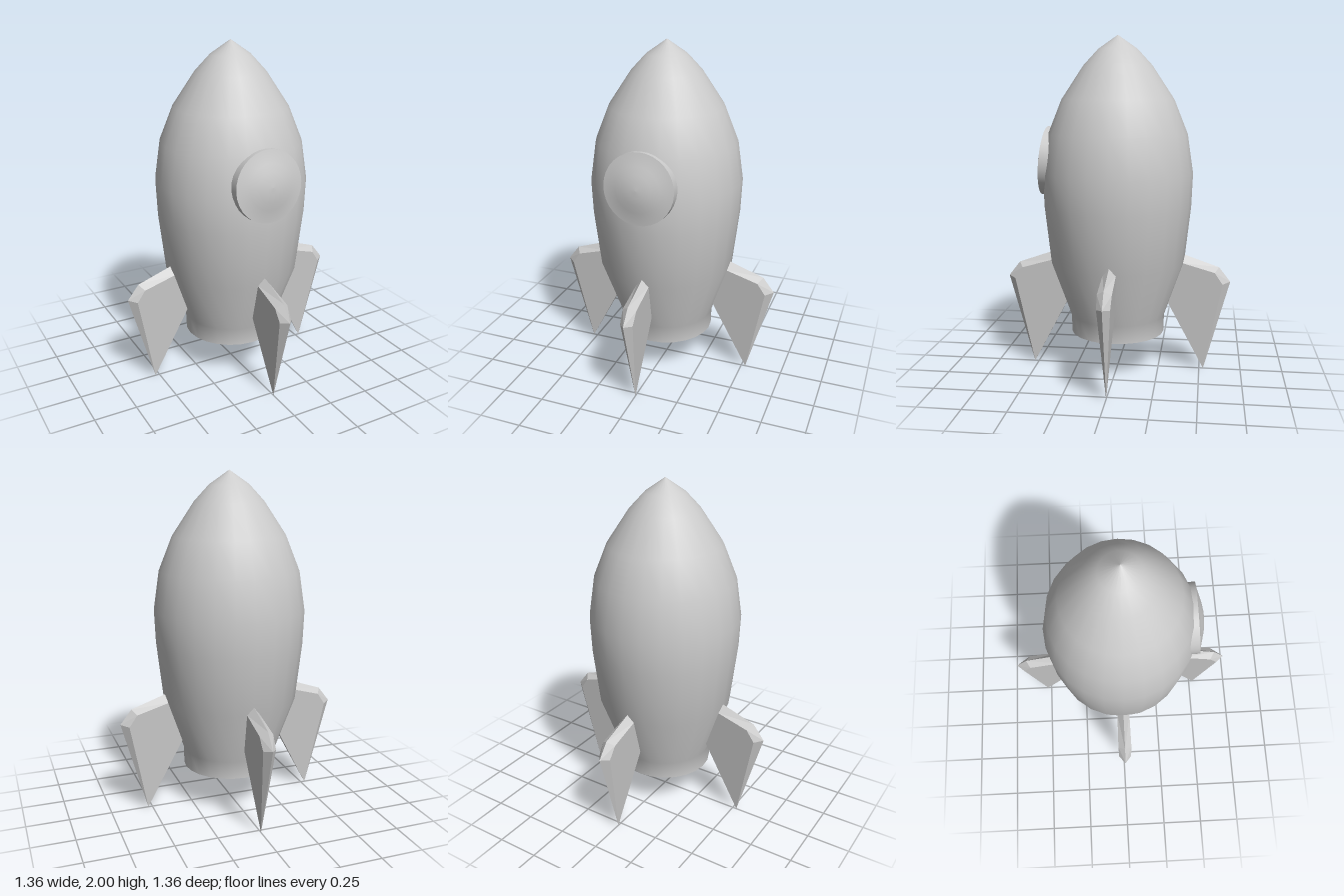
import * as THREE from 'three';

const grey = new THREE.MeshStandardMaterial({ color: 0xcccccc });
const finGrey = new THREE.MeshStandardMaterial({ color: 0xcccccc, flatShading: true });

function addMesh(parent, name, geometry, material = grey) {
  const mesh = new THREE.Mesh(geometry, material);
  mesh.name = name;
  parent.add(mesh);
  return mesh;
}

const lathe = (points, segments) =>
  new THREE.LatheGeometry(points.map(([r, y]) => new THREE.Vector2(r, y)), segments);

// Fin reaching out along +x: planar sides that thin to a tip, with a ridged outer edge
function finGeometry() {
  const tip = [0.525, 0];
  const ridge = [[0.2, 0.74], [0.4, 0.71], [0.61, 0.637], [0.678, 0.55]];
  const inset = [[0.2, 0.7], [0.39, 0.665], [0.585, 0.61], [0.632, 0.54]];
  const root = [0.2, 0.615];
  const half = ([x, y]) => 0.0632 * y + 0.0326 * (x - tip[0]);
  const positions = [];

  for (const side of [1, -1]) {
    const onSide = (p) => [p[0], p[1], side * half(p)];
    const onRidge = (p) => [p[0], p[1], 0];
    const tri = (a, b, c) => positions.push(...a, ...(side > 0 ? [...b, ...c] : [...c, ...b]));
    const end = onRidge(tip);

    // Side face, fanned from the tip
    const rim = [root, ...inset].map(onSide);
    for (let i = 0; i < rim.length - 1; i++) tri(end, rim[i + 1], rim[i]);

    // Bevel between side face and ridge
    for (let i = 0; i < ridge.length - 1; i++) {
      const a = onSide(inset[i]), b = onSide(inset[i + 1]);
      const c = onRidge(ridge[i + 1]), d = onRidge(ridge[i]);
      tri(a, b, c);
      tri(a, c, d);
    }
    tri(onSide(inset[3]), end, onRidge(ridge[3]));

    // Underside and inner end
    tri(end, onSide(root), onRidge(root));
    tri(onRidge(root), onSide(root), onSide(inset[0]));
    tri(onRidge(root), onSide(inset[0]), onRidge(ridge[0]));
  }

  const geometry = new THREE.BufferGeometry();
  geometry.setAttribute('position', new THREE.Float32BufferAttribute(positions, 3));
  geometry.computeVertexNormals();
  return geometry;
}

export function createModel() {
  const rocket = new THREE.Group();
  rocket.name = 'rocket';

  // Hull
  addMesh(rocket, 'hull', lathe([
    [0.28, 0.23], [0.283, 0.335], [0.4, 0.66], [0.438, 1.0], [0.446, 1.2],
    [0.412, 1.43], [0.332, 1.63], [0.203, 1.825], [0.115, 1.92], [0, 2],
  ], 24));
  const base = addMesh(rocket, 'hullBase', new THREE.CircleGeometry(0.28, 24));
  base.rotation.x = Math.PI / 2;
  base.position.y = 0.23;

  // Porthole, leaning back with the hull
  const porthole = new THREE.Group();
  porthole.name = 'porthole';
  porthole.position.set(0, 1.267, 0.438);
  porthole.rotation.x = Math.PI / 2 - 0.085;
  rocket.add(porthole);
  const rim = addMesh(porthole, 'portholeRim', new THREE.CylinderGeometry(0.205, 0.205, 0.1, 32, 1, true));
  rim.position.y = -0.05;
  addMesh(porthole, 'portholeGlass', lathe([
    [0.205, 0], [0.17, 0.006], [0.13, 0.016], [0.085, 0.028], [0.04, 0.035], [0, 0.037],
  ], 32));

  // Four fins
  const fin = finGeometry();
  ['leftFin', 'backFin', 'rightFin', 'frontFin'].forEach((name, i) => {
    addMesh(rocket, name, fin, finGrey).rotation.y = i * Math.PI / 2;
  });

  return rocket;
}
